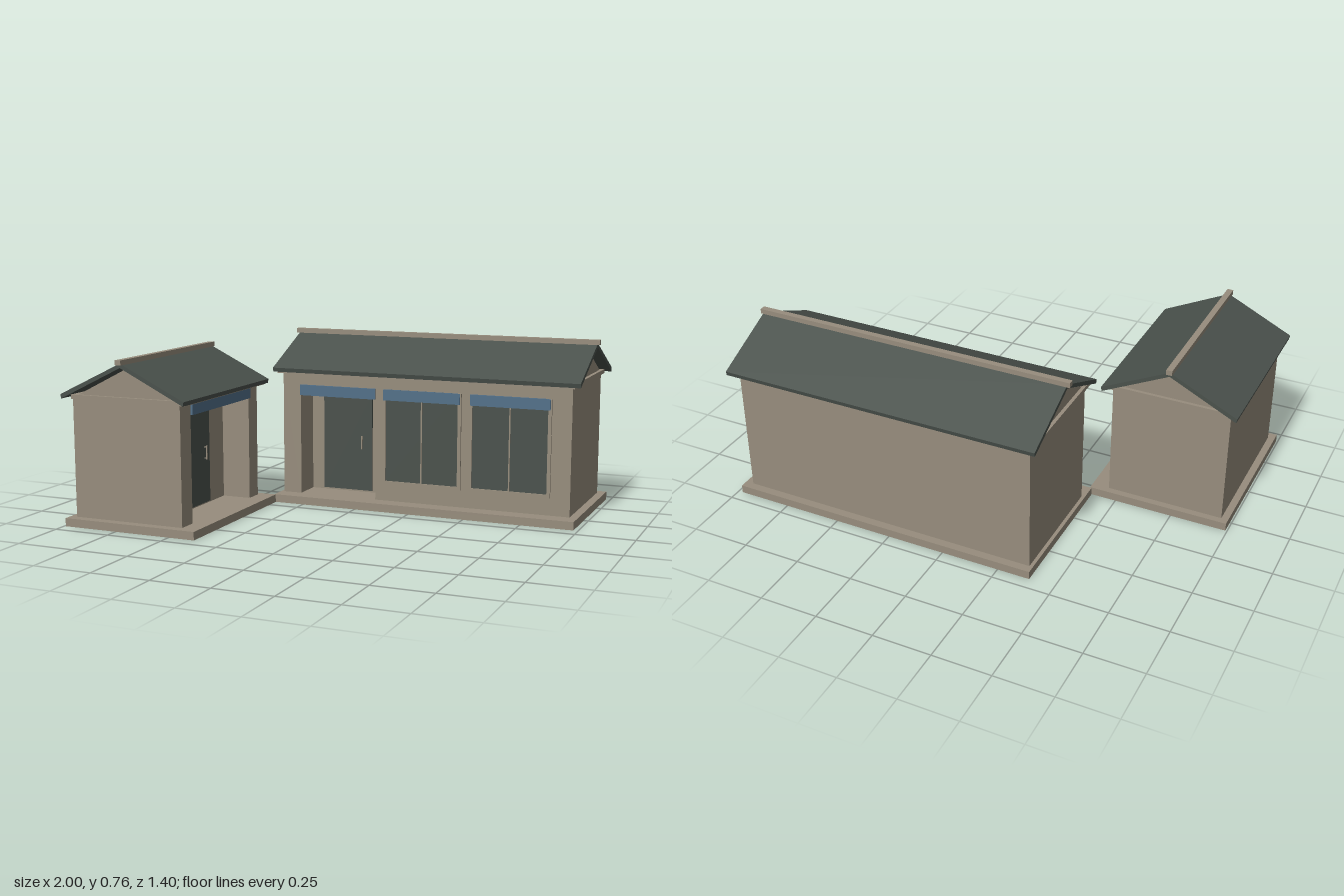
import * as THREE from 'three';

const mat = (name, color) => new THREE.MeshStandardMaterial({ name, color });

export function createModel() {
  const stone = mat('warm stone', 0x978d7d);
  const slate = mat('dark slate', 0x4a514c);
  const blue = mat('awning blue', 0x527089);

  // Box from its minimum and maximum corners
  function box(parent, name, material, x0, x1, y0, y1, z0, z1) {
    const m = new THREE.Mesh(new THREE.BoxGeometry(x1 - x0, y1 - y0, z1 - z0), material);
    m.position.set((x0 + x1) / 2, (y0 + y1) / 2, (z0 + z1) / 2);
    m.name = name;
    parent.add(m);
  }

  // Outline given as [z, y] pairs, extruded along x
  function profile(parent, name, material, points, x0, x1) {
    const shape = new THREE.Shape(points.map(([z, y]) => new THREE.Vector2(-z, y)));
    const geo = new THREE.ExtrudeGeometry(shape, { depth: x1 - x0, bevelEnabled: false });
    geo.rotateY(Math.PI / 2);
    geo.translate(x0, 0, 0);
    const m = new THREE.Mesh(geo, material);
    m.name = name;
    parent.add(m);
  }

  // Gabled house with its ridge along x and its door facing +z
  function house(name, p) {
    const g = new THREE.Group();
    g.name = name;
    const { hx, hz, wallTop: top, recess: [r0, r1], door: [d0, d1], slab, roof, ridge } = p;
    const floor = 0.035, depth = 0.13, back = hz - depth;
    const beamY = p.awningTop - 0.047;

    box(g, 'baseSlab', stone, slab[0], slab[1], 0, floor, slab[2], slab[3]);

    // Walls with a notch for the entrance, and the lintel closing it above
    const plan = new THREE.Shape([
      [-hx, hz], [-hx, -hz], [hx, -hz], [hx, hz], [r1, hz], [r1, back], [r0, back], [r0, hz],
    ].map(([x, z]) => new THREE.Vector2(x, -z)));
    const wallGeo = new THREE.ExtrudeGeometry(plan, { depth: top - floor, bevelEnabled: false });
    wallGeo.rotateX(-Math.PI / 2);
    wallGeo.translate(0, floor, 0);
    const walls = new THREE.Mesh(wallGeo, stone);
    walls.name = 'walls';
    g.add(walls);
    box(g, 'entranceLintel', stone, r0, r1, p.awningTop, top, back, hz);
    box(g, 'entranceAwning', blue, r0, r1, beamY, p.awningTop, hz - 0.01, hz + 0.01);

    // Door and handle
    box(g, 'door', slate, d0, d1, floor + 0.008, beamY + 0.005, back, back + 0.008);
    const hY = [0.235, 0.295];
    box(g, 'doorHandle', stone, p.handle - 0.003, p.handle + 0.003, hY[0], hY[1], back + 0.016, back + 0.022);
    for (const y of hY) {
      const s = y === hY[0] ? y + 0.004 : y - 0.008;
      box(g, 'handleMount', stone, p.handle - 0.002, p.handle + 0.002, s, s + 0.004, back + 0.007, back + 0.018);
    }

    // Windows: frame, two panes, mullion, awning
    for (const [w0, w1] of p.windows) {
      const y0 = 0.11, y1 = p.awningTop, t = 0.015, zf = hz + 0.008, mid = (w0 + w1) / 2;
      box(g, 'windowFrameSide', stone, w0, w0 + t, y0, y1, hz - 0.01, zf);
      box(g, 'windowFrameSide', stone, w1 - t, w1, y0, y1, hz - 0.01, zf);
      box(g, 'windowSill', stone, w0 + t, w1 - t, y0, y0 + t, hz - 0.01, zf);
      box(g, 'windowPane', slate, w0 + t, w1 - t, y0 + t, y1, hz - 0.005, hz + 0.002);
      box(g, 'windowMullion', stone, mid - 0.003, mid + 0.003, y0 + t, y1, hz, hz + 0.005);
      box(g, 'windowAwning', blue, w0 + 0.005, w1 - 0.005, beamY, y1, hz, hz + 0.012);
    }

    // Gable block and wall plate that carries the front eave
    profile(g, 'gable', stone, [[hz, top], [-hz, top], [0, p.gableTop]], -hx, hx);
    box(g, 'wallPlate', stone, -hx - 0.015, hx + 0.015, top - 0.003, top + 0.015, -hz, roof.half - 0.004);

    // Two sloping roof slabs and the ridge cap
    const { half, eave, apex } = roof, t = 0.018;
    for (const s of [1, -1]) {
      const pts = [[0, apex], [s * half, eave], [s * (half - 0.004), eave - t], [0, apex - t]];
      profile(g, 'roofSlope', slate, pts, roof.x[0], roof.x[1]);
    }
    box(g, 'ridgeCap', stone, ridge[0], ridge[1], apex - 0.006, apex + 0.015, -0.013, 0.013);
    return g;
  }

  const main = house('mainHouse', {
    hx: 0.66, hz: 0.2625, wallTop: 0.585, gableTop: 0.71, awningTop: 0.531,
    recess: [-0.575, -0.215], door: [-0.515, -0.28], handle: -0.325,
    windows: [[-0.18, 0.18], [0.215, 0.575]],
    slab: [-0.675, 0.695, -0.2975, 0.3375],
    roof: { half: 0.3, eave: 0.605, apex: 0.742, x: [-0.695, 0.7] },
    ridge: [-0.71, 0.71],
  });
  main.position.set(0.285, 0, -0.4);

  const side = house('sideHouse', {
    hx: 0.34, hz: 0.2525, wallTop: 0.54, gableTop: 0.668, awningTop: 0.533,
    recess: [-0.255, 0.26], door: [-0.115, 0.12], handle: 0.075,
    windows: [],
    slab: [-0.38, 0.37, -0.2825, 0.3275],
    roof: { half: 0.29, eave: 0.557, apex: 0.697, x: [-0.375, 0.385] },
    ridge: [-0.39, 0.395],
  });
  side.rotation.y = Math.PI / 2;
  side.position.set(-0.71, 0, 0.31);

  const model = new THREE.Group();
  model.name = 'houses';
  model.add(main, side);
  return model;
}
